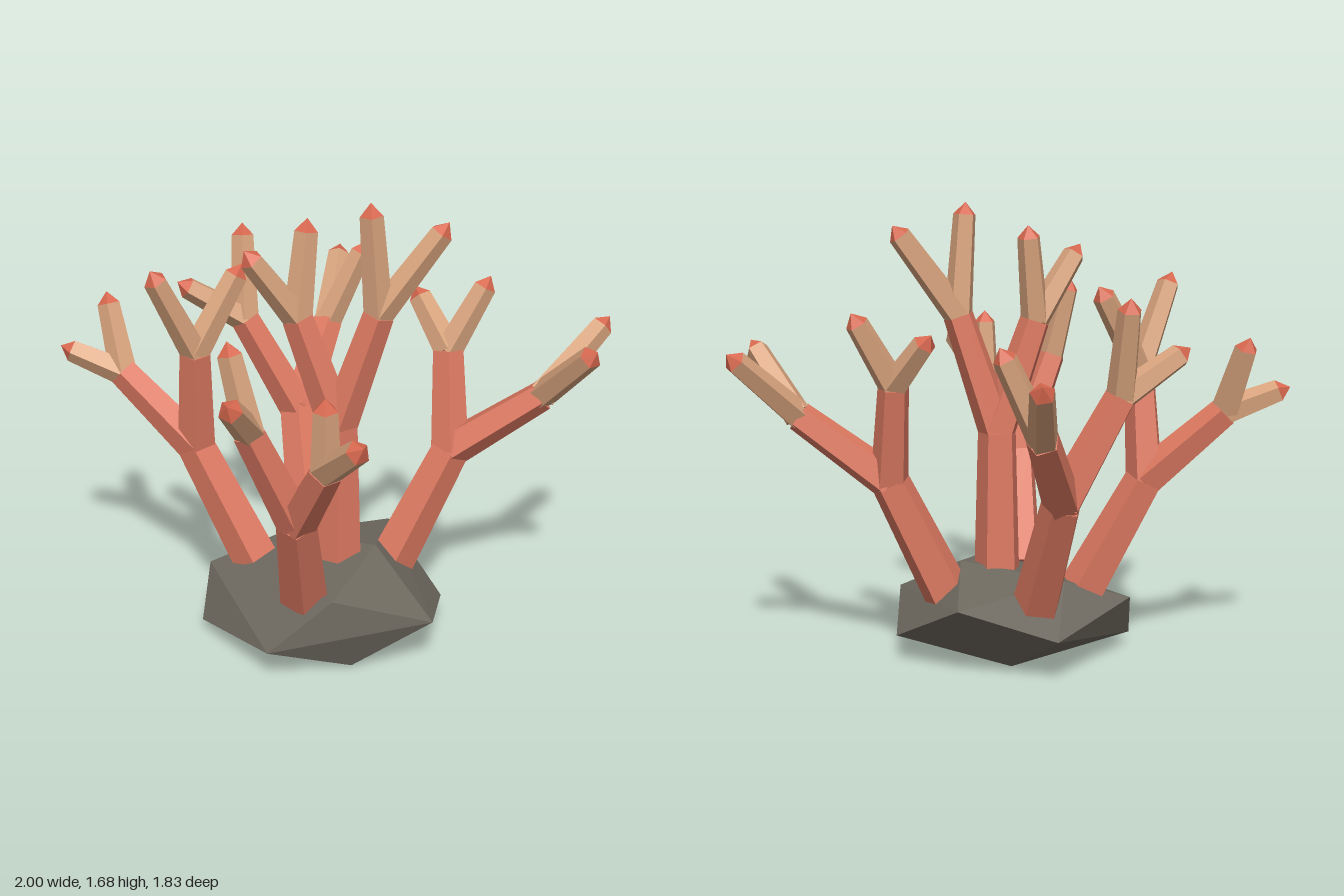
import * as THREE from 'three';
import { ConvexGeometry } from 'three/addons/geometries/ConvexGeometry.js';

const flat = (name, color) => {
  const m = new THREE.MeshStandardMaterial({ color, flatShading: true });
  m.name = name;
  return m;
};
const V = (p) => new THREE.Vector3(...p);
const UP = new THREE.Vector3(0, 1, 0);
const SIDES = 5;

// Tapered five-sided limb between two points
function limb(a, b, r0, r1, material, name) {
  const dir = b.clone().sub(a);
  const mesh = new THREE.Mesh(new THREE.CylinderGeometry(r1, r0, dir.length(), SIDES), material);
  mesh.position.copy(a).lerp(b, 0.5);
  mesh.quaternion.setFromUnitVectors(UP, dir.normalize());
  mesh.name = name;
  return mesh;
}

// Each stalk: base, fork, then two arms, each with its end and two twig points
const STALKS = [
  { name: 'backStalk', base: [-0.08, 0.25, -0.18], fork: [-0.13, 0.68, -0.41], arms: [
    { end: [-0.02, 0.95, -0.65], twigs: [[0.03, 1.18, -0.92], [0.13, 1.27, -0.68]] },
    { end: [-0.33, 1.05, -0.42], twigs: [[-0.58, 1.21, -0.38], [-0.34, 1.4, -0.51]] }] },
  { name: 'frontStalk', base: [-0.1, 0.27, 0.33], fork: [-0.12, 0.67, 0.53], arms: [
    { end: [-0.02, 0.94, 0.7], twigs: [[0.1, 1.12, 0.91], [-0.02, 1.21, 0.72]] },
    { end: [-0.27, 1.04, 0.61], twigs: [[-0.33, 1.22, 0.81], [-0.34, 1.35, 0.58]] }] },
  { name: 'rightStalk', base: [-0.29, 0.26, 0], fork: [-0.5, 0.68, -0.07], arms: [
    { end: [-0.77, 0.94, -0.16], twigs: [[-1, 1.03, -0.19], [-0.83, 1.22, -0.25]] },
    { end: [-0.49, 1.08, 0], twigs: [[-0.63, 1.42, 0.1], [-0.32, 1.39, -0.07]] }] },
  { name: 'leftStalk', base: [0.22, 0.25, 0.01], fork: [0.43, 0.69, -0.02], arms: [
    { end: [0.75, 0.93, 0.04], twigs: [[1, 1.18, -0.1], [0.91, 1.18, 0.25]] },
    { end: [0.42, 1.05, -0.1], twigs: [[0.3, 1.25, -0.23], [0.57, 1.32, -0.14]] }] },
  { name: 'middleStalk', base: [0.02, 0.27, 0.1], fork: [0.02, 0.84, 0.1], arms: [
    { end: [0.16, 1.27, 0.12], twigs: [[0.13, 1.68, 0.145], [0.4, 1.6, 0.11]] },
    { end: [-0.12, 1.25, 0.1], twigs: [[-0.3, 1.52, 0.18], [-0.085, 1.6, 0.06]] }] },
];

// Corners of the faceted rock
const ROCK = [
  [-0.23, 0.12, 0.48], [0.36, 0.19, 0.38], [0.41, 0.1, 0.02], [-0.485, 0.045, 0.11],
  [-0.46, 0.22, -0.02], [-0.13, 0.16, -0.345], [0.22, 0.27, -0.28], [0.16, 0.355, 0.1],
  [0, 0.3, 0.43], [0.07, 0.005, 0.37], [0, 0, -0.1], [-0.2, 0.31, -0.08],
];

export function createModel() {
  const coral = flat('coral', 0xde7a62);
  const twigTan = flat('twig tan', 0xd9a47e);
  const tipRed = flat('tip red', 0xd8684f);
  const rockGrey = flat('rock grey', 0x6e695f);

  const model = new THREE.Group();
  model.name = 'coral';

  const rock = new THREE.Mesh(new ConvexGeometry(ROCK.map(V)), rockGrey);
  rock.name = 'rock';
  model.add(rock);

  for (const s of STALKS) {
    const stalk = new THREE.Group();
    stalk.name = s.name;
    const fork = V(s.fork);
    stalk.add(limb(V(s.base), fork, 0.09, 0.074, coral, 'trunk'));
    for (const arm of s.arms) {
      const end = V(arm.end);
      stalk.add(limb(fork, end, 0.072, 0.058, coral, 'arm'));
      for (const t of arm.twigs) {
        // The last stretch of each twig is a small pointed cap
        const point = V(t);
        const neck = point.clone().sub(end).setLength(end.distanceTo(point) - 0.045).add(end);
        stalk.add(limb(end, neck, 0.054, 0.043, twigTan, 'twig'));
        stalk.add(limb(neck, point, 0.043, 0, tipRed, 'twigTip'));
      }
    }
    model.add(stalk);
  }
  return model;
}
